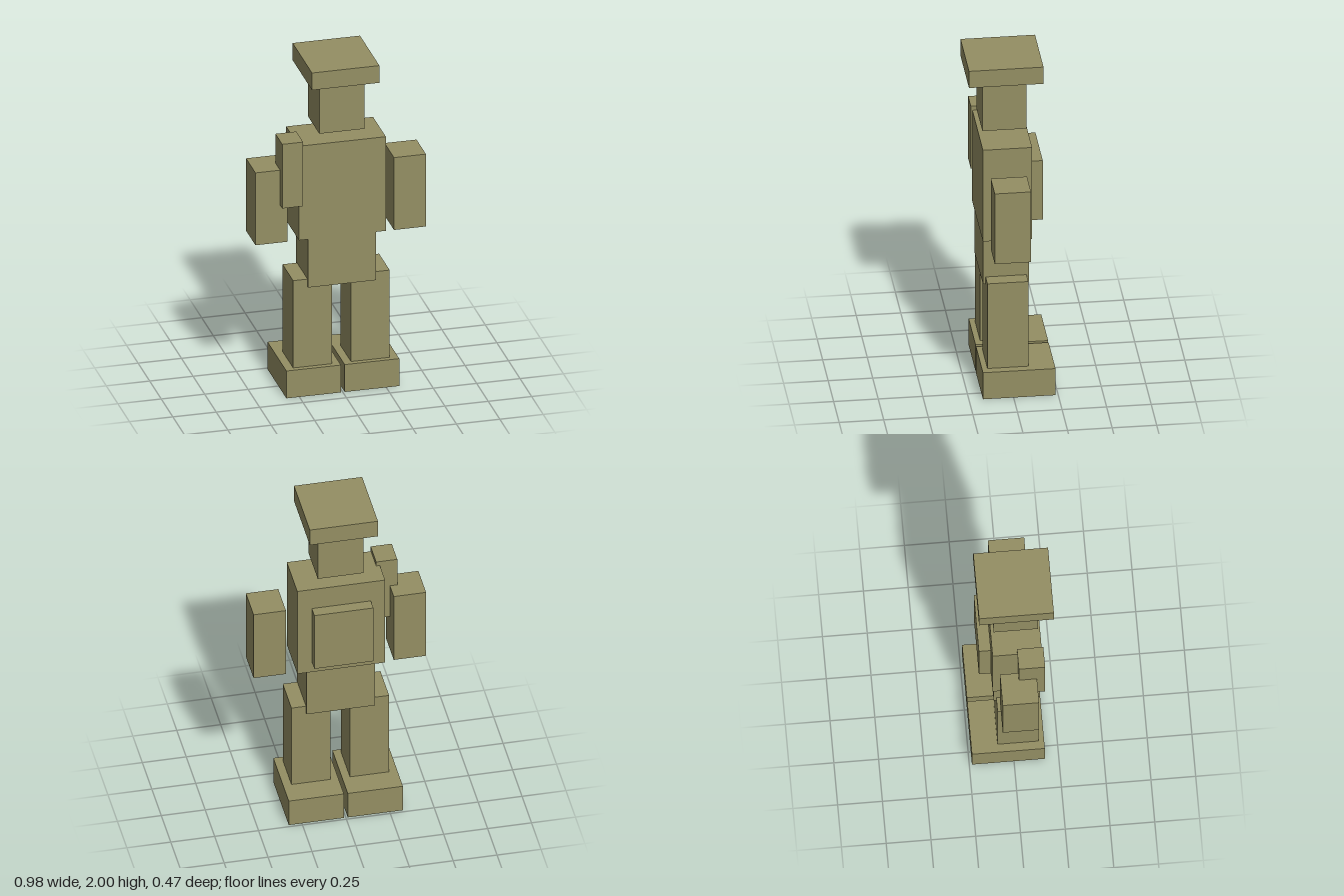
import * as THREE from 'three';

export function createModel() {
  const model = new THREE.Group();
  model.name = 'blockFigure';
  const olive = new THREE.MeshStandardMaterial({ color: 0x948f63 });
  olive.name = 'olive';

  // Box given by its extents along x, y and z
  function block(name, [x0, x1], [y0, y1], [z0, z1]) {
    const mesh = new THREE.Mesh(new THREE.BoxGeometry(x1 - x0, y1 - y0, z1 - z0), olive);
    mesh.position.set((x0 + x1) / 2, (y0 + y1) / 2, (z0 + z1) / 2);
    mesh.name = name;
    model.add(mesh);
  }

  // Mirrored pair, given by the inner and outer x of the left one
  function pair(name, [inner, outer], y, z) {
    block('left' + name, [inner, outer], y, z);
    block('right' + name, [-outer, -inner], y, z);
  }

  // Head and flat hat
  block('hat', [-0.194, 0.194], [1.895, 2], [-0.184, 0.234]);
  block('head', [-0.13, 0.13], [1.585, 1.895], [-0.097, 0.151]);

  // Body, with a pack on the back and a block on the right shoulder
  block('torso', [-0.25, 0.25], [0.953, 1.528], [-0.113, 0.163]);
  block('waist', [-0.195, 0.195], [0.655, 0.953], [-0.103, 0.156]);
  block('backpack', [-0.168, 0.168], [1.027, 1.398], [-0.183, -0.116]);
  block('shoulderBlock', [-0.349, -0.229], [1.163, 1.555], [0.025, 0.172]);

  // Limbs
  pair('Arm', [0.307, 0.491], [0.935, 1.377], [-0.077, 0.126]);
  pair('Leg', [0.055, 0.278], [0.167, 0.7], [-0.088, 0.141]);
  pair('Foot', [0.011, 0.325], [0, 0.167], [-0.235, 0.172]);

  return model;
}
